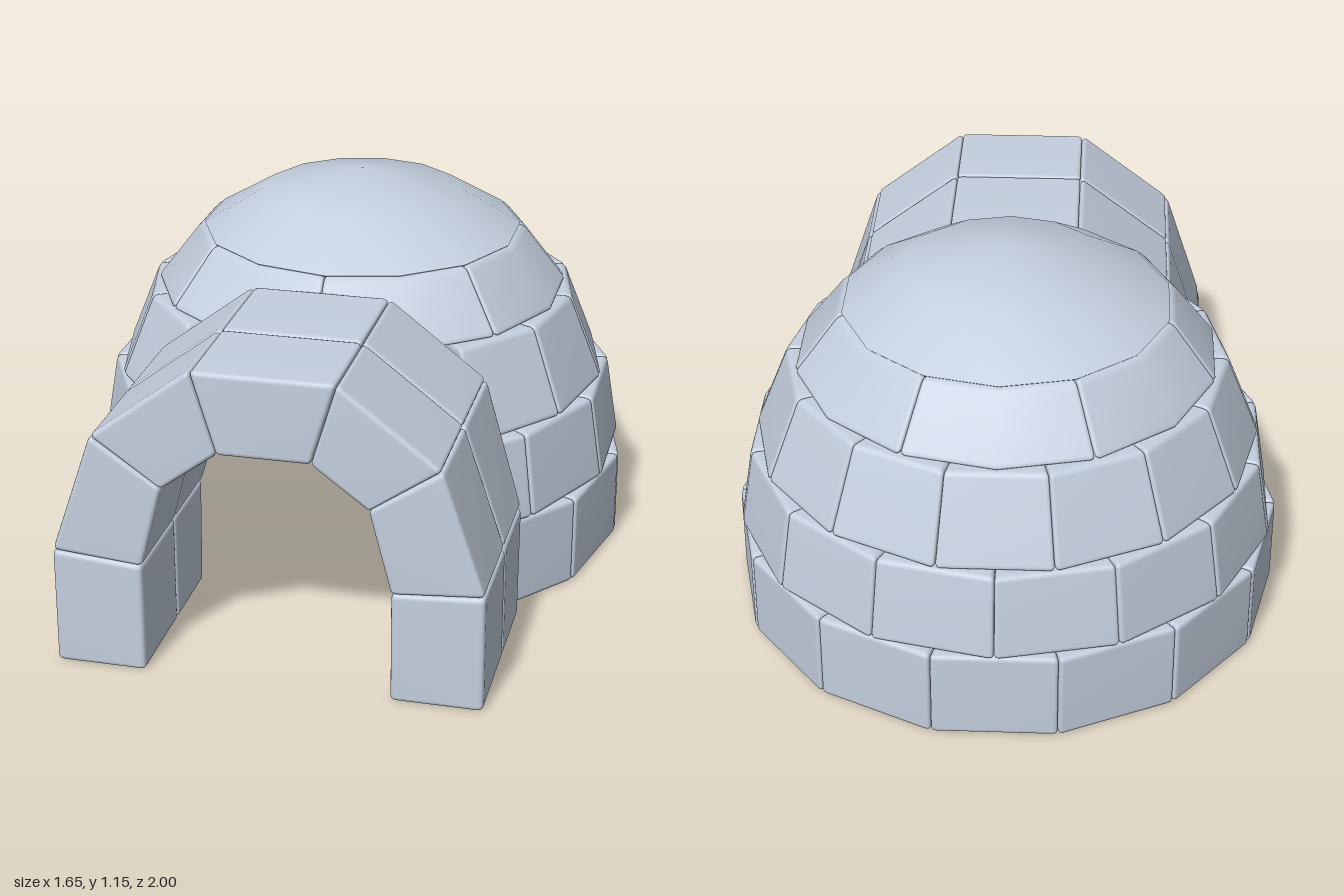
import * as THREE from 'three';
import { mergeVertices, toCreasedNormals } from 'three/addons/utils/BufferGeometryUtils.js';

const STEP = (Math.PI * 2) / 14; // the dome is fourteen-sided
const DOME_Z = -0.18;
const BEVEL = 0.016;
const V = (x, y, z) => new THREE.Vector3(x, y, z);

// Soft-edged block of a nominal size, its (-1..1) coordinates placed by a mapping rule
function blockGeometry(size, place) {
  const geo = new THREE.BoxGeometry(2, 2, 2, 6, 6, 6);
  geo.deleteAttribute('uv');
  geo.deleteAttribute('normal');
  const pos = geo.attributes.position;
  const p = V(), core = V();
  const half = size.clone().multiplyScalar(0.5);
  for (let i = 0; i < pos.count; i++) {
    p.fromBufferAttribute(pos, i);
    for (const k of ['x', 'y', 'z']) {
      const h = half[k];
      const grid = [-h, -h + BEVEL * 0.45, -h + BEVEL, 0, h - BEVEL, h - BEVEL * 0.45, h];
      p[k] = grid[Math.round((p[k] + 1) * 3)];
      core[k] = THREE.MathUtils.clamp(p[k], -h + BEVEL, h - BEVEL);
    }
    p.sub(core).setLength(BEVEL).add(core).divide(half);
    const q = place(p.x, p.y, p.z);
    pos.setXYZ(i, q.x, q.y, q.z);
  }
  const merged = mergeVertices(geo, 1e-5);
  merged.computeVertexNormals();
  return merged;
}

const mix = (a, b, t) => THREE.MathUtils.lerp(a, b, (t + 1) / 2);

// Wall block between two corner numbers of the polygon; wide ones bend at their middle corner
function wallBlock(from, to, ring) {
  const mid = (from + to) / 2;
  const bent = to - from > 1.5;
  const dir = (k) => V(Math.sin(k * STEP), 0, Math.cos(k * STEP));
  const a = dir(from), b = dir(to), m = bent ? dir(mid) : a.clone().lerp(b, 0.5);
  const size = V((to - from) * STEP * ring.r0, ring.y1 - ring.y0, ring.wall);
  return blockGeometry(size, (u, v, w) => {
    const d = u < 0 ? a.clone().lerp(m, u + 1) : m.clone().lerp(b, u);
    const outer = mix(ring.r0, ring.r1, v);
    d.multiplyScalar(mix(outer - ring.wall, outer, w));
    return V(d.x, mix(ring.y0, ring.y1, v), d.z + DOME_Z);
  });
}

const range = (from, to, step = 1) => {
  const out = [];
  for (let k = from; k <= to + 1e-6; k += step) out.push(k);
  return out;
};

export function createModel() {
  const model = new THREE.Group();
  model.name = 'igloo';
  const snow = new THREE.MeshStandardMaterial({ color: 0xc4cfde });
  snow.name = 'snow';

  const add = (parent, name, geometry) => {
    const mesh = new THREE.Mesh(geometry, snow);
    mesh.name = name;
    parent.add(mesh);
  };

  // Dome courses; the lower three leave an opening at the front
  const rings = [
    { y0: 0.003, y1: 0.28, r0: 0.83, r1: 0.83, wall: 0.16, cuts: range(1.5, 12.5) },
    { y0: 0.28, y1: 0.535, r0: 0.822, r1: 0.78, wall: 0.16, cuts: [1.5, ...range(2, 12), 12.5] },
    { y0: 0.535, y1: 0.796, r0: 0.765, r1: 0.66, wall: 0.16, cuts: range(1.5, 12.5) },
    { y0: 0.796, y1: 0.978, r0: 0.64, r1: 0.5, wall: 0.15, cuts: range(0, 14, 2) },
  ];
  const dome = new THREE.Group();
  dome.name = 'dome';
  model.add(dome);
  rings.forEach((ring, i) => {
    const course = new THREE.Group();
    course.name = `wallCourse${i + 1}`;
    dome.add(course);
    for (let k = 0; k < ring.cuts.length - 1; k++) {
      add(course, 'wallBlock', wallBlock(ring.cuts[k], ring.cuts[k + 1], ring));
    }
  });

  // Roof cap: a shallow shell
  const capProfile = [
    [0, 1.04], [0.22, 1.01], [0.34, 0.975], [0.485, 0.975], [0.49, 0.98], [0.303, 1.092], [0, 1.157],
  ].map(([r, y]) => new THREE.Vector2(r, y));
  const cap = toCreasedNormals(new THREE.LatheGeometry(capProfile, 14), 0.6);
  cap.translate(0, 0, DOME_Z);
  add(dome, 'roofCap', cap);

  // Entrance tunnel: two arches of seven blocks, the rear one trimmed to the dome
  // columns: outer x, outer y, inner x, inner y, rear z
  const side = [
    [0.618, 0.003, 0.355, 0.003, 0.43],
    [0.618, 0.355, 0.355, 0.335, 0.415],
    [0.495, 0.72, 0.292, 0.58, 0.345],
    [0.205, 0.942, 0.132, 0.7, 0.34],
  ];
  const joints = [...side, ...side.slice().reverse().map(([ox, oy, ix, iy, z]) => [-ox, oy, -ix, iy, z])];
  const tunnel = new THREE.Group();
  tunnel.name = 'entranceTunnel';
  model.add(tunnel);
  for (const front of [true, false]) {
    const arch = new THREE.Group();
    arch.name = front ? 'frontArch' : 'rearArch';
    tunnel.add(arch);
    for (let i = 0; i < joints.length - 1; i++) {
      const a = joints[i], b = joints[i + 1];
      const geometry = blockGeometry(V(0.35, 0.31, 0.25), (u, v, w) => {
        const j = a.map((value, n) => mix(value, b[n], u));
        const z = front ? mix(0.685, 1, v) : mix(j[4], 0.685, v);
        return V(mix(j[2], j[0], w), mix(j[3], j[1], w), z);
      });
      add(arch, 'archBlock', geometry);
    }
  }
  return model;
}
